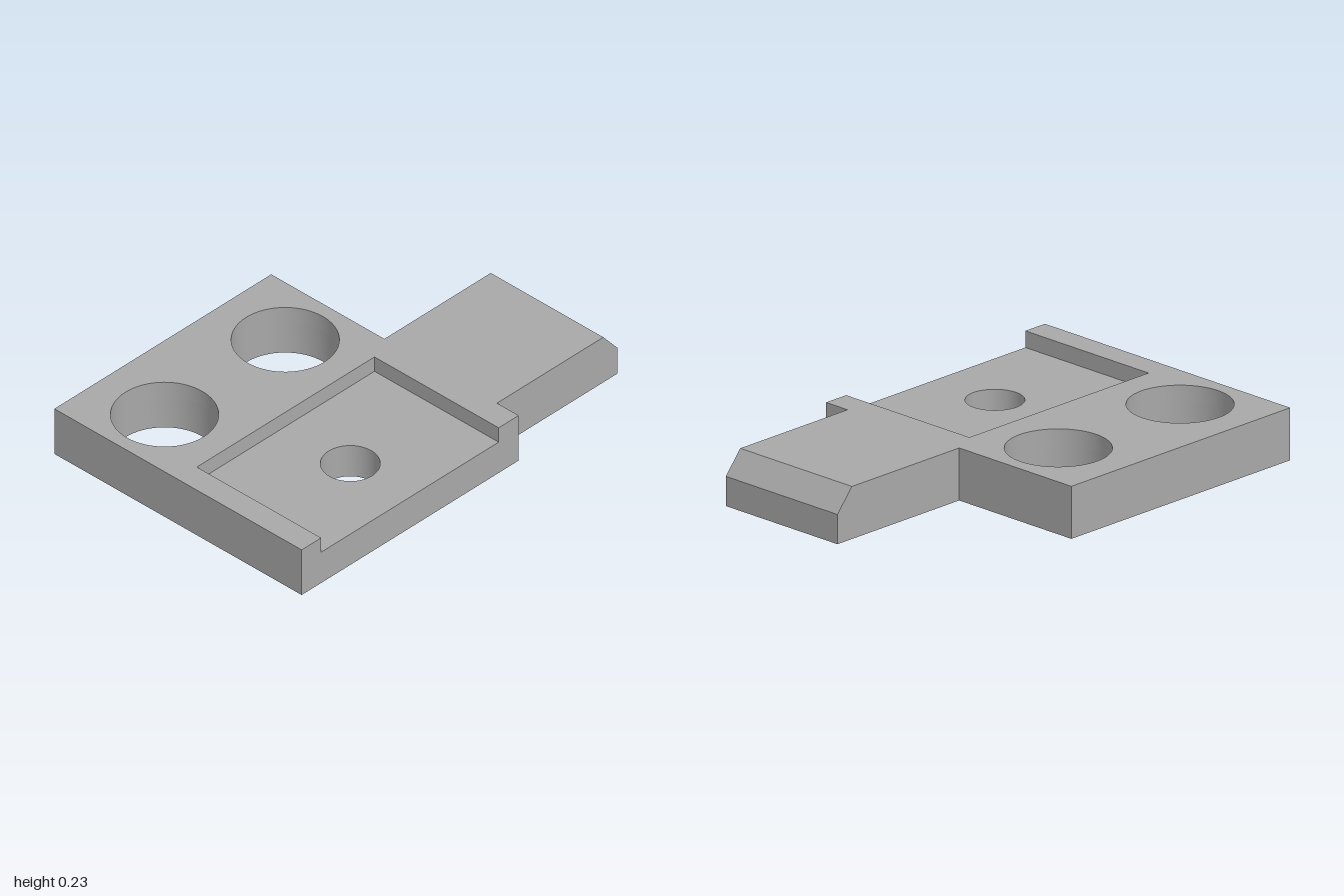
import * as THREE from 'three';
import { toCreasedNormals } from 'three/addons/utils/BufferGeometryUtils.js';

const HEIGHT = 0.23, FLOOR = 0.157;
const BODY_RIGHT = 0.285, BODY_Z = 0.703;
const TAB_BACK = -0.06, TAB_FRONT = 0.58;
const LARGE_HOLES = [[-0.715, -0.35, 0.222], [0, -0.35, 0.222]];
const SMALL_HOLE = [-0.36, 0.365, 0.123];

const outline = (points) => new THREE.Shape(points.map(([x, y]) => new THREE.Vector2(x, y)));

// Horizontal slab from an [x, z] outline, with round through holes [x, z, radius]
function slab(points, holes, y0, y1) {
  const shape = outline(points.map(([x, z]) => [x, -z]));
  for (const [x, z, r] of holes) {
    shape.holes.push(new THREE.Path().absarc(x, -z, r, 0, Math.PI * 2, true));
  }
  const geometry = new THREE.ExtrudeGeometry(shape, { depth: y1 - y0, bevelEnabled: false, curveSegments: 32 });
  geometry.rotateX(-Math.PI / 2).translate(0, y0, 0);
  return toCreasedNormals(geometry, Math.PI / 6);
}

export function createModel() {
  const grey = new THREE.MeshStandardMaterial({ color: 0xa8a8a8 });
  grey.name = 'plain grey';
  const model = new THREE.Group();
  model.name = 'mountingPlate';
  const add = (name, geometry) => {
    const mesh = new THREE.Mesh(geometry, grey);
    mesh.name = name;
    model.add(mesh);
  };

  // Lower layer, whose top is the pocket floor
  add('basePlate', slab(
    [[-1, BODY_Z], [BODY_RIGHT, BODY_Z], [BODY_RIGHT, -BODY_Z], [-1, -BODY_Z]],
    [...LARGE_HOLES, SMALL_HOLE], 0, FLOOR));

  // Upper layer: back block and two side rims around the open pocket
  add('pocketRim', slab(
    [[-1, BODY_Z], [-0.885, BODY_Z], [-0.885, -0.003], [0.167, -0.003],
      [0.167, BODY_Z], [BODY_RIGHT, BODY_Z], [BODY_RIGHT, -BODY_Z], [-1, -BODY_Z]],
    LARGE_HOLES, FLOOR, HEIGHT));

  // Side tab with a chamfered upper end
  const tab = new THREE.ExtrudeGeometry(
    outline([[BODY_RIGHT, 0], [1, 0], [1, 0.13], [0.915, HEIGHT], [BODY_RIGHT, HEIGHT]]),
    { depth: TAB_FRONT - TAB_BACK, bevelEnabled: false });
  add('sideTab', tab.translate(0, 0, TAB_BACK));

  return model;
}
